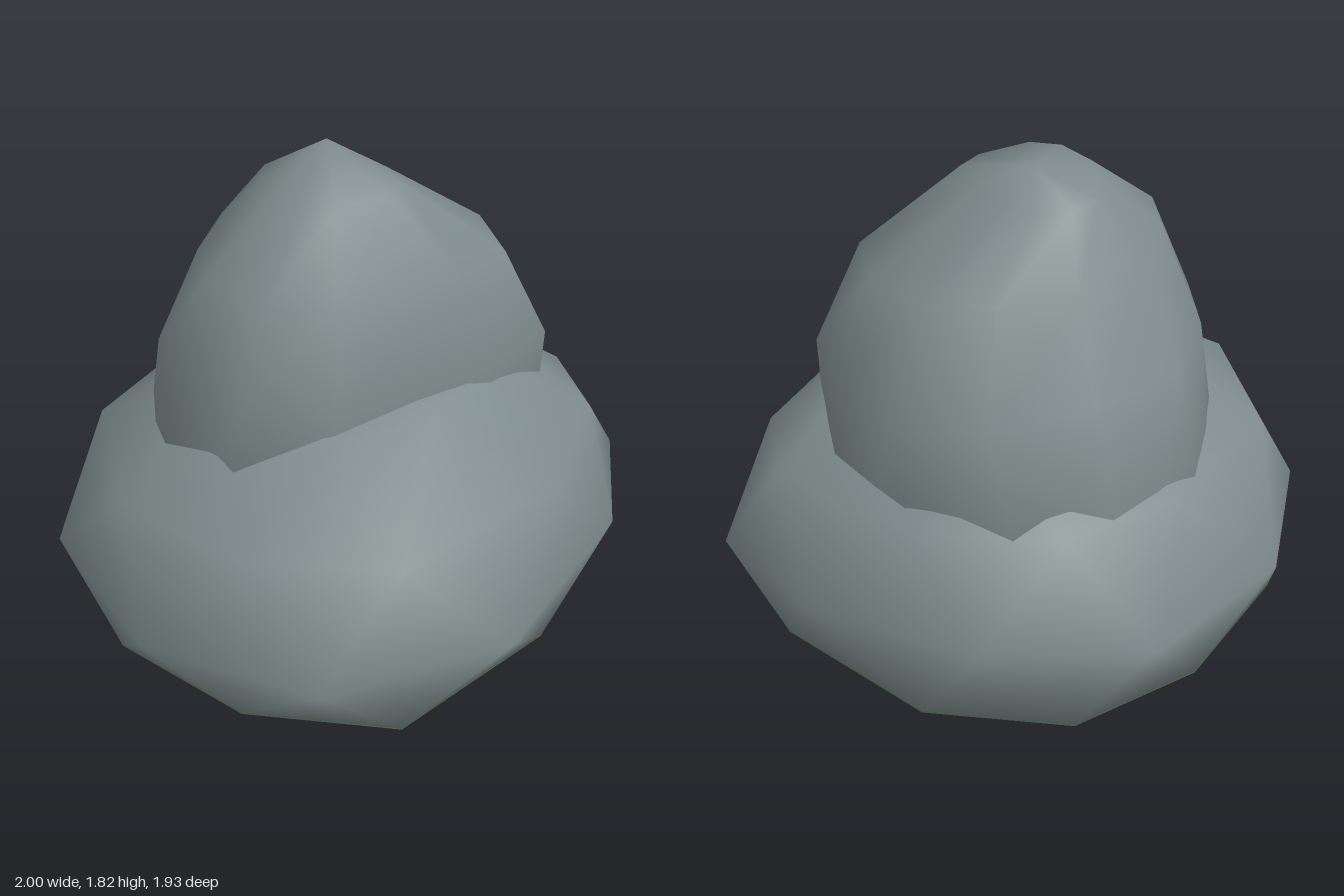
import * as THREE from 'three';

// Closed rock: rings listed bottom to top, capped by two poles.
// Ring: outline, y, scale x, scale z, offset x, offset z, slope along x, slope along z
function makeRock(name, material, rings, bottom, top) {
  const n = rings[0][0].length;
  const positions = [...bottom];
  for (const [outline, y, sx, sz, ox = 0, oz = 0, slopeX = 0, slopeZ = 0] of rings) {
    for (const [px, pz] of outline) {
      const x = px * sx + ox, z = pz * sz + oz;
      positions.push(x, y + slopeX * x + slopeZ * z, z);
    }
  }
  positions.push(...top);
  const topIndex = positions.length / 3 - 1;
  const last = rings.length - 1;
  const at = (r, j) => 1 + r * n + (j % n);
  const index = [];
  for (let j = 0; j < n; j++) {
    index.push(0, at(0, j + 1), at(0, j));
    for (let r = 0; r < last; r++) {
      const a = at(r, j), b = at(r, j + 1), c = at(r + 1, j + 1), d = at(r + 1, j);
      index.push(a, b, c, a, c, d);
    }
    index.push(at(last, j), at(last, j + 1), topIndex);
  }
  const geometry = new THREE.BufferGeometry();
  geometry.setAttribute('position', new THREE.Float32BufferAttribute(positions, 3));
  geometry.setIndex(index);
  geometry.computeVertexNormals();
  const mesh = new THREE.Mesh(geometry, material);
  mesh.name = name;
  return mesh;
}

// Starts an outline k points later, so staggered rings join in even triangles
const turn = (outline, k) => outline.map((_, j) => outline[(j + k + outline.length) % outline.length]);

export function createModel() {
  const stone = new THREE.MeshStandardMaterial({ color: 0x7f8c8d });
  stone.name = 'stone grey';
  const moss = new THREE.MeshStandardMaterial({ color: 0x6a8c57 });
  moss.name = 'moss green';
  const group = new THREE.Group();
  group.name = 'stackedBoulders';

  // Outlines as [x, z]: the widest girth, and an edge whose corners sit between those of the girth
  const girth = [
    [0, -0.97], [-0.6, -0.78], [-1, -0.32], [-1, 0.32], [-0.63, 0.83],
    [0.02, 0.96], [0.7, 0.64], [1, 0.26], [0.9, -0.22], [0.52, -0.73],
  ];
  const edge = [
    [-0.26, -0.82], [-0.76, -0.55], [-0.94, 0.01], [-0.75, 0.52], [-0.34, 0.86],
    [0.33, 0.74], [0.77, 0.39], [0.87, 0.05], [0.64, -0.55], [0.23, -0.85],
  ];

  // Wide lower boulder
  group.add(makeRock('lowerBoulder', stone, [
    [edge, 0.1, 0.55, 0.55],
    [edge, 0.175, 1, 1, 0, 0, -0.015, 0.015],
    [girth, 0.46, 1, 1],
    [turn(edge, -1), 0.82, 0.97, 0.92, 0, 0.05, -0.02, 0.01],
    [turn(girth, -1), 1.05, 0.5, 0.5, 0, 0.02, 0.03, 0.12],
  ], [-0.05, 0.09, 0], [0, 1.12, 0.05]));

  // Moss covering the underside, its upper half sunk into the boulder
  group.add(makeRock('mossBase', moss, [
    [turn(girth, 1), 0.035, 0.15, 0.28, -0.15, 0.06],
    [turn(girth, 1), 0.045, 0.51, 0.53, -0.05, 0],
    [edge, 0.17, 1, 1, 0, 0, -0.015, 0.015],
    [edge, 0.5, 0.92, 0.92],
  ], [-0.2, 0, 0.17], [0, 0.55, 0]));

  // Narrower upper boulder, leaning back at its foot
  const foot = [
    [0.02, -0.7], [-0.35, -0.63], [-0.6, -0.36], [-0.7, 0], [-0.66, 0.3], [-0.33, 0.42],
    [0.3, 0.4], [0.59, 0.33], [0.69, 0], [0.58, -0.34], [0.32, -0.62],
  ];
  const shoulder = [
    [0.02, -0.58], [-0.33, -0.52], [-0.58, -0.28], [-0.7, -0.02], [-0.59, 0.27], [-0.31, 0.41],
    [0.3, 0.41], [0.59, 0.32], [0.69, 0], [0.61, -0.32], [0.38, -0.53],
  ];
  group.add(makeRock('upperBoulder', stone, [
    [foot, 0.45, 0.98, 1.11, 0, -0.08],
    [shoulder, 1.15, 1, 1, 0, 0, -0.04, 0],
    [shoulder, 1.5, 0.76, 0.78, -0.02, 0.03, -0.06, 0],
    [shoulder, 1.735, 0.31, 0.47, -0.06, -0.02, -0.03, 0.09],
  ], [0, 0.4, -0.1], [0, 1.82, -0.14]));

  return group;
}
